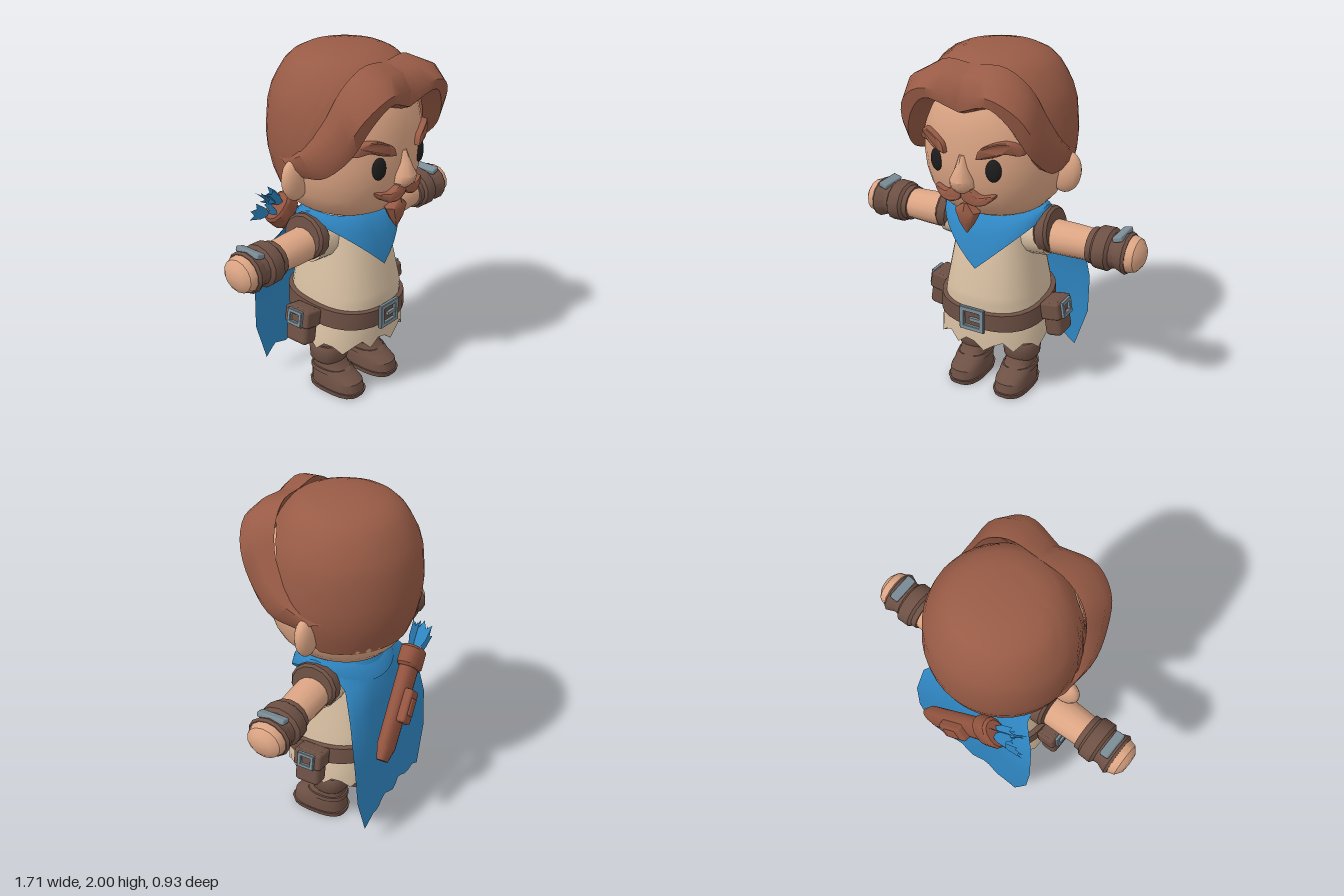
import * as THREE from 'three';
import { toCreasedNormals } from 'three/addons/utils/BufferGeometryUtils.js';
import { RoundedBoxGeometry } from 'three/addons/geometries/RoundedBoxGeometry.js';

const mat = (name, color, side = THREE.FrontSide) => {
  const m = new THREE.MeshStandardMaterial({ color, side });
  m.name = name;
  return m;
};
const V = (x, y, z) => new THREE.Vector3(x, y, z);

// Skin a list of point loops (or open rows); closed solids are turned outward
function loft(rings, { closed = true, caps = true, crease = 0.7 } = {}) {
  const pos = [];
  const n = rings[0].length;
  const tri = (...p) => p.forEach(q => pos.push(q.x, q.y, q.z));
  for (let r = 0; r < rings.length - 1; r++) {
    const a = rings[r], b = rings[r + 1];
    for (let i = 0; i < (closed ? n : n - 1); i++) {
      const j = (i + 1) % n;
      tri(a[i], a[j], b[j]);
      tri(a[i], b[j], b[i]);
    }
  }
  if (caps) [rings[0], rings[rings.length - 1]].forEach((ring, top) => {
    const c = ring.reduce((s, p) => s.add(p), V(0, 0, 0)).divideScalar(n);
    ring.forEach((p, i) => {
      const q = ring[(i + 1) % n];
      if (top) tri(c, p, q); else tri(c, q, p);
    });
  });
  let volume = 0;
  for (let i = 0; i < pos.length; i += 9) {
    volume += V(...pos.slice(i, i + 3)).dot(V(...pos.slice(i + 3, i + 6)).cross(V(...pos.slice(i + 6, i + 9))));
  }
  if (caps && volume < 0) for (let i = 0; i < pos.length; i += 9) {
    for (let k = 0; k < 3; k++) [pos[i + 3 + k], pos[i + 6 + k]] = [pos[i + 6 + k], pos[i + 3 + k]];
  }
  const g = new THREE.BufferGeometry();
  g.setAttribute('position', new THREE.Float32BufferAttribute(pos, 3));
  return toCreasedNormals(g, crease);
}

// Horizontal superellipse loop
function oval(y, rx, rz = rx, cz = 0, p = 2, n = 28, cx = 0) {
  return Array.from({ length: n }, (_, i) => {
    const t = i / n * Math.PI * 2, s = Math.sin(t), c = Math.cos(t);
    const k = Math.pow(Math.abs(s) ** p + Math.abs(c) ** p, -1 / p);
    return V(cx + rx * s * k, y, cz + rz * c * k);
  });
}
const stack = (rows, p = 2, n = 28, cx = 0, opt) =>
  loft(rows.map(([y, rx, rz, cz]) => oval(y, rx, rz, cz, p, n, cx)), opt);

// Piecewise linear lookup in [y, value] pairs
function lookup(table, y) {
  for (let i = 1; i < table.length; i++) {
    const [y0, a] = table[i - 1], [y1, b] = table[i];
    if (y <= y1) return a + (b - a) * Math.max(0, (y - y0) / (y1 - y0));
  }
  return table[table.length - 1][1];
}
const faceZ = (x, r) => 1.03 * r * Math.pow(1 - Math.pow(Math.min(1, Math.abs(x) / r), 2.2), 1 / 2.2);

// Rounded outline, thickened and bent around the face
function facePiece(points, s, r, depth) {
  const shape = new THREE.Shape(new THREE.SplineCurve(
    [...points, points[0]].map(([x, y]) => new THREE.Vector2(x * s, y))).getPoints(28).slice(0, -1));
  const g = new THREE.ExtrudeGeometry(shape, { depth, bevelSize: 0.008, bevelThickness: 0.012, bevelSegments: 2 });
  const p = g.attributes.position;
  for (let i = 0; i < p.count; i++) p.setZ(i, p.getZ(i) + faceZ(p.getX(i), r) - 0.015);
  return toCreasedNormals(g, 0.7);
}

// Rectangular buckle with a prong
function buckleGeometry(w, h, bar) {
  const rect = (S, a, b) => new S([[-a, -b], [a, -b], [a, b], [-a, b]].map(q => new THREE.Vector2(...q)));
  const shape = rect(THREE.Shape, w / 2, h / 2);
  shape.holes.push(rect(THREE.Path, w / 2 - bar, h / 2 - bar));
  return new THREE.ExtrudeGeometry(shape, { depth: 0.014, bevelSize: 0.003, bevelThickness: 0.004, bevelSegments: 1 });
}

export function createModel() {
  const root = new THREE.Group();
  root.name = 'caped adventurer';
  const skin = mat('skin', 0xdca584), hair = mat('auburn hair', 0x985b46);
  const cloth = mat('linen', 0xd8c0a3), blue = mat('blue cloth', 0x2f86c2, THREE.DoubleSide);
  const leather = mat('brown leather', 0x6d5044), red = mat('red leather', 0x93543f);
  const steel = mat('steel', 0x7b8d97), black = mat('eye black', 0x1d1d1d);
  const add = (name, geo, m, parent = root) => {
    const mesh = new THREE.Mesh(geo, m);
    mesh.name = name;
    parent.add(mesh);
    return mesh;
  };

  // Head and face
  const headRows = [[1.1, 0.1], [1.115, 0.21], [1.15, 0.275], [1.2, 0.32], [1.26, 0.35], [1.35, 0.375],
    [1.45, 0.385], [1.6, 0.38], [1.75, 0.35], [1.87, 0.27], [1.92, 0.15]];
  add('head', stack(headRows.map(([y, r]) => [y, r, r * 1.03, 0]), 2.2, 36), skin);
  add('nose', stack([[1.31, 0.04, 0.04, 0.38], [1.34, 0.066, 0.068, 0.385], [1.38, 0.064, 0.074, 0.39],
    [1.44, 0.036, 0.05, 0.385], [1.51, 0.018, 0.03, 0.375]], 2, 12), skin);
  add('goatee', stack([[1.06, 0.004, 0.004, 0.35], [1.12, 0.045, 0.035, 0.345], [1.185, 0.076, 0.05, 0.34],
    [1.235, 0.012, 0.03, 0.345]], 2, 8), hair);

  // Hair cap: hairline climbs from the nape to the forehead
  const capProfile = [[1.25, 0.355], [1.37, 0.4], [1.5, 0.422], [1.7, 0.408], [1.8, 0.38], [1.9, 0.32],
    [1.95, 0.27], [1.985, 0.19], [2, 0.09]];
  const capRing = (u, inset) => Array.from({ length: 40 }, (_, i) => {
    const t = i / 40 * Math.PI * 2, c = Math.cos(t);
    const low = 1.25 + 0.6 * THREE.MathUtils.smoothstep(c, -0.2, 0.75);
    const y = low + (2 - low) * Math.sin(u * Math.PI / 2);
    const r = lookup(capProfile, y) * inset;
    return V(r * Math.sin(t), y, r * c - 0.01);
  });
  add('hair cap', loft([capRing(0, 0.86), ...Array.from({ length: 13 }, (_, k) => capRing(k / 12, 1))]), hair);

  // Swept front lock: each station runs upper edge, two bulges, lower edge, inner edge
  const lock = [
    [[0, 1.95, 0.26], [0, 1.915, 0.37], [0, 1.83, 0.425], [0, 1.745, 0.42], [0, 1.71, 0.33]],
    [[0.17, 1.955, 0.25], [0.19, 1.925, 0.38], [0.2, 1.85, 0.455], [0.18, 1.8, 0.445], [0.17, 1.76, 0.33]],
    [[0.3, 1.86, 0.22], [0.34, 1.85, 0.33], [0.335, 1.76, 0.41], [0.28, 1.71, 0.41], [0.235, 1.67, 0.32]],
    [[0.37, 1.69, 0.16], [0.405, 1.68, 0.24], [0.4, 1.6, 0.32], [0.355, 1.55, 0.34], [0.3, 1.54, 0.27]],
    [[0.4, 1.54, 0.04], [0.44, 1.54, 0.1], [0.44, 1.48, 0.17], [0.4, 1.42, 0.2], [0.34, 1.42, 0.18]],
    [[0.4, 1.46, -0.11], [0.42, 1.45, -0.06], [0.42, 1.42, -0.01], [0.39, 1.38, 0.05], [0.36, 1.39, 0.04]]];

  // Mirrored parts
  for (const s of [1, -1]) {
    const side = s > 0 ? 'left' : 'right';
    const rails = [0, 1, 2, 3, 4].map(k => new THREE.CatmullRomCurve3(lock.map(st => V(st[k][0] * s, st[k][1], st[k][2]))));
    add(side + ' front lock', loft(Array.from({ length: 19 }, (_, i) => rails.map(c => c.getPoint(i / 18))), { crease: 0.85 }), hair);
    const ear = add(side + ' ear', new THREE.SphereGeometry(1, 16, 12), skin);
    ear.scale.set(0.085, 0.118, 0.05);
    ear.position.set(s * 0.395, 1.355, -0.01);
    ear.rotation.z = -s * 0.2;
    const eye = add(side + ' eye', new THREE.SphereGeometry(1, 16, 12), black);
    eye.scale.set(0.042, 0.061, 0.018);
    eye.position.set(s * 0.168, 1.445, 0.364);
    eye.rotation.y = s * 0.32;
    add(side + ' eyebrow', facePiece([[0.1, 1.515], [0.12, 1.56], [0.2, 1.595], [0.26, 1.585], [0.29, 1.535],
      [0.23, 1.55], [0.17, 1.53]], s, 0.385, 0.035), hair);
    add(side + ' moustache', facePiece([[0.008, 1.31], [0.05, 1.32], [0.1, 1.29], [0.165, 1.3], [0.12, 1.26],
      [0.06, 1.255], [0.012, 1.28]], s, 0.365, 0.04), hair);

    // Arm, turned on its long axis: [distance from centre, radius]
    const arm = new THREE.Group();
    arm.name = side + ' arm';
    arm.position.set(0, 0.967, -0.01);
    root.add(arm);
    const turned = (name, pts, m) => {
      const g = new THREE.LatheGeometry(pts.map(([x, r]) => new THREE.Vector2(r, x)), 14, Math.PI / 14);
      const mesh = add(name, toCreasedNormals(g, 0.6), m, arm);
      mesh.rotation.z = -s * Math.PI / 2;
      mesh.scale.z = 1.08;
      return mesh;
    };
    turned('sleeve', [[0.08, 0], [0.08, 0.12], [0.22, 0.118], [0.32, 0.11], [0.325, 0]], cloth);
    const cuff = turned('sleeve band', [[0.27, 0], [0.27, 0.115], [0.285, 0.128], [0.335, 0.128], [0.35, 0.115], [0.35, 0]], leather);
    cuff.rotation.z += s * 0.12;
    turned('forearm', [[0.3, 0], [0.3, 0.095], [0.45, 0.092], [0.6, 0.085], [0.6, 0]], skin);
    turned('bracer', [[0.56, 0], [0.56, 0.098], [0.59, 0.1], [0.605, 0.115], [0.675, 0.117], [0.69, 0.098],
      [0.715, 0.094], [0.77, 0.115], [0.785, 0.105], [0.785, 0]], leather);
    turned('fist', [[0.75, 0], [0.75, 0.09], [0.785, 0.101], [0.825, 0.09], [0.852, 0.055], [0.857, 0]], skin);
    const plate = add('bracer plate', new RoundedBoxGeometry(0.055, 0.03, 0.16, 1, 0.008), steel, arm);
    plate.position.set(s * 0.73, 0.1, 0);
    plate.rotation.z = s * 0.3;

    // Boot
    const x = s * 0.148, boot = new THREE.Group();
    boot.name = side + ' boot';
    root.add(boot);
    add('sole', stack([[0, 0.098, 0.168, 0.062], [0.028, 0.103, 0.175, 0.064]], 2.8, 24, x), leather, boot);
    add('foot', stack([[0.028, 0.096, 0.166, 0.064], [0.08, 0.096, 0.16, 0.06], [0.115, 0.088, 0.132, 0.035],
      [0.15, 0.08, 0.1, 0.01], [0.2, 0.08, 0.088, 0]], 2.6, 24, x), leather, boot);
    add('shaft', stack([[0.18, 0.082, 0.088, -0.005], [0.4, 0.088, 0.088, -0.005]], 2.3, 20, x), leather, boot);
    add('cuff', stack([[0.175, 0.09, 0.092, -0.005], [0.19, 0.1, 0.102, -0.005], [0.265, 0.105, 0.107, -0.005],
      [0.285, 0.095, 0.097, -0.005]], 2.4, 20, x), leather, boot);
    add('ankle strap', stack([[0.115, 0.096, 0.135, 0.028], [0.14, 0.092, 0.118, 0.015]], 2.5, 20, x), leather, boot);

    // Hip pouch
    const pouch = new THREE.Group();
    pouch.name = side + ' hip pouch';
    pouch.position.set(s * 0.365, 0.49, -0.005);
    pouch.rotation.z = s * 0.16;
    root.add(pouch);
    add('pouch body', new RoundedBoxGeometry(0.1, 0.21, 0.15, 2, 0.025), leather, pouch);
    const flap = add('pouch flap', new RoundedBoxGeometry(0.115, 0.1, 0.17, 1, 0.015), leather, pouch);
    flap.position.y = 0.05;
    const clasp = add('pouch buckle', buckleGeometry(0.095, 0.085, 0.016), steel, pouch);
    clasp.position.set(s * 0.057, 0.05, 0);
    clasp.rotation.y = s * Math.PI / 2;
  }

  // Tunic with a ragged hem
  const hem = oval(0.34, 0.315, 0.285, 0, 2.5, 36);
  hem.forEach((p, i) => { p.y += [0.02, -0.025, 0.015, 0.04, -0.015, 0.03][i % 6]; });
  add('tunic', loft([hem, ...[[0.45, 0.305, 0.285], [0.53, 0.285, 0.28], [0.61, 0.275, 0.29], [0.65, 0.27, 0.285],
    [0.82, 0.24, 0.25], [0.96, 0.215, 0.22], [1.08, 0.2, 0.18], [1.13, 0.15, 0.15]]
    .map(([y, a, b]) => oval(y, a, b, 0, 2.5, 36))]), cloth);

  // Belt, dipping at the front
  const beltRing = (y, a, b) => {
    const ring = oval(y, a, b, 0, 2.5, 36);
    ring.forEach(p => { p.y -= 0.08 * p.z + 0.03 * p.x; });
    return ring;
  };
  add('belt', loft([beltRing(0.48, 0.3, 0.29), beltRing(0.485, 0.312, 0.302), beltRing(0.585, 0.304, 0.305),
    beltRing(0.59, 0.29, 0.29)]), leather);
  const buckle = add('belt buckle', buckleGeometry(0.145, 0.135, 0.022), steel);
  buckle.position.set(0, 0.515, 0.303);
  const prong = add('buckle prong', new THREE.BoxGeometry(0.08, 0.02, 0.016), steel);
  prong.position.set(0.025, 0.515, 0.312);

  // Neckerchief: a collar dropping to a point at the front
  const scarfRow = (v, rx, rz) => Array.from({ length: 36 }, (_, i) => {
    const t = i / 36 * Math.PI * 2, a = Math.sin(t), c = Math.cos(t);
    const top = 1.15 - 0.05 * Math.abs(c);
    const low = c > 0 ? 0.81 + 0.28 * Math.abs(a) : 1.09 + 0.1 * c;
    return V(rx * a, top + (low - top) * v, rz * c);
  });
  add('neckerchief', loft([scarfRow(0, 0.26, 0.17), scarfRow(0.08, 0.295, 0.2), scarfRow(0.45, 0.305, 0.25),
    scarfRow(1, 0.305, 0.275)], { caps: false, crease: 0.9 }), blue);

  // Cape: [y, half width, centre z, edge z], with a scalloped hem
  const capeRows = [[1.12, 0.27, -0.21, -0.05], [1.0, 0.29, -0.26, -0.18], [0.87, 0.385, -0.295, -0.265],
    [0.6, 0.42, -0.315, -0.315], [0.36, 0.41, -0.325, -0.33], [0.16, 0.33, -0.33, -0.335]];
  add('cape', loft(capeRows.map(([y, w, zc, ze], r) => Array.from({ length: 17 }, (_, i) => {
    const u = i / 8 - 1;
    const drop = r === 5 ? -0.045 * Math.abs(u) ** 3 + [0, 0.015, 0.03, 0.012][i % 4] : 0;
    return V(w * u, y + drop, zc + (ze - zc) * u * u - 0.006 * Math.cos(u * 9) * (r / 5));
  })), { closed: false, caps: false, crease: 0.9 }), blue);

  // Quiver slung across the back
  const quiver = new THREE.Group();
  quiver.name = 'quiver';
  quiver.position.set(0.02, 0.83, -0.365);
  quiver.rotation.set(0.12, 0, 0.8);
  root.add(quiver);
  add('quiver body', stack([[-0.34, 0.045, 0.025], [-0.26, 0.075, 0.042], [0.24, 0.08, 0.045]], 2.6, 14), red, quiver);
  add('quiver collar', stack([[0.19, 0.085, 0.05], [0.205, 0.1, 0.062], [0.295, 0.1, 0.062], [0.31, 0.085, 0.05]], 2.5, 14), red, quiver);
  const pocket = add('quiver pocket', new RoundedBoxGeometry(0.1, 0.19, 0.06, 1, 0.015), red, quiver);
  pocket.position.set(0, -0.02, -0.052);
  const pad = add('pocket flap', new RoundedBoxGeometry(0.06, 0.1, 0.02, 1, 0.008), red, quiver);
  pad.position.set(0, -0.02, -0.08);

  // Feathered arrow ends
  const feather = new THREE.ShapeGeometry(new THREE.Shape([[0, 0], [0.035, 0.08], [0.05, 0.17], [0.02, 0.145],
    [0, 0.19], [-0.02, 0.145], [-0.05, 0.17], [-0.035, 0.08]].map(q => new THREE.Vector2(...q))));
  for (let i = 0; i < 5; i++) {
    const f = add('arrow feather', feather, blue, quiver);
    f.position.set((i - 2) * 0.028, 0.28, i % 2 ? 0.02 : -0.015);
    f.rotation.set(0, i * 0.9, (2 - i) * 0.16);
  }
  return root;
}
